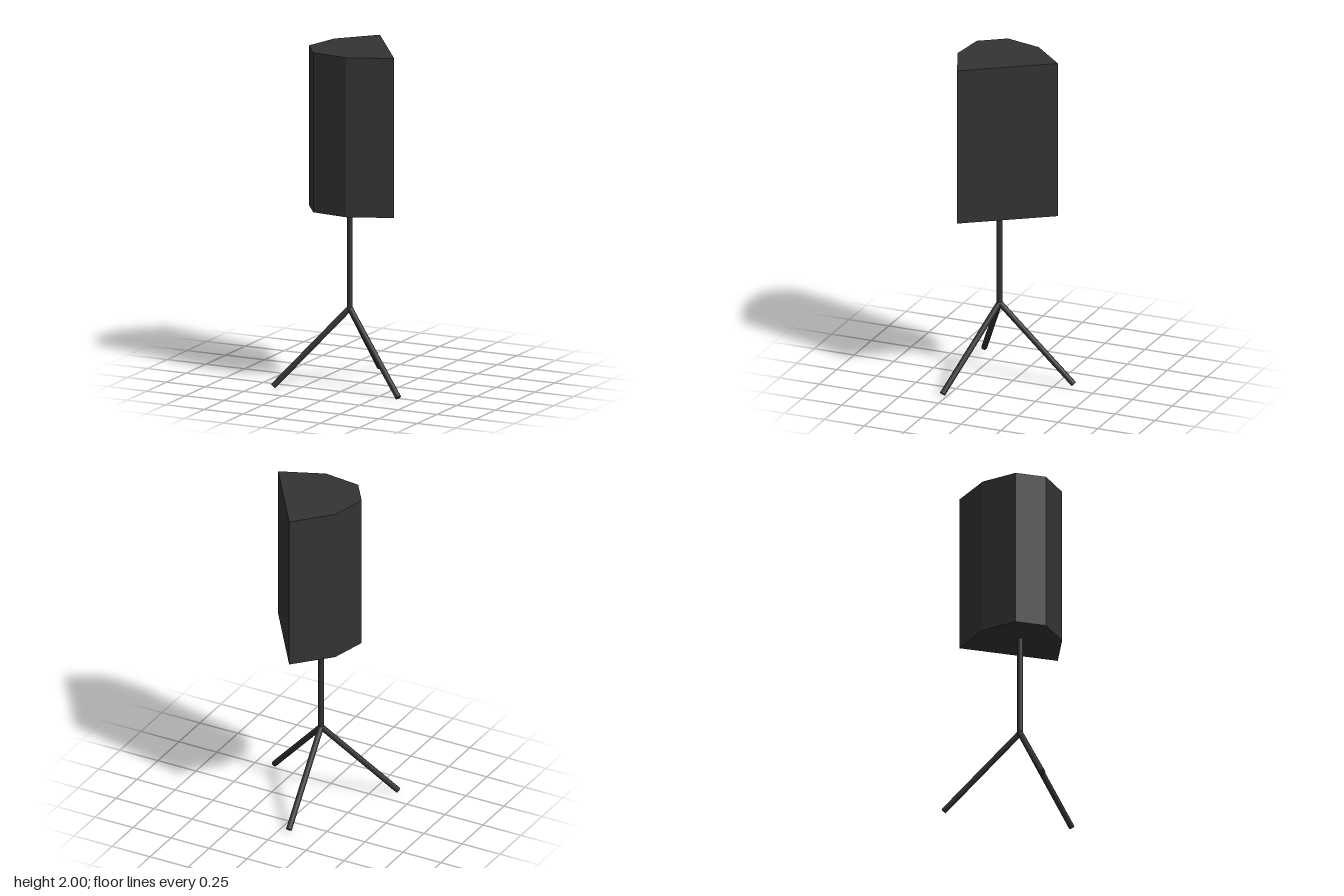
import * as THREE from 'three';

const material = new THREE.MeshStandardMaterial({ color: 0x333333 });

// Round bar running between two points
function bar(name, from, to, radius) {
  const a = new THREE.Vector3(...from);
  const b = new THREE.Vector3(...to);
  const dir = b.clone().sub(a);
  const mesh = new THREE.Mesh(new THREE.CylinderGeometry(radius, radius, dir.length(), 24), material);
  mesh.position.copy(a).add(b).multiplyScalar(0.5);
  mesh.quaternion.setFromUnitVectors(new THREE.Vector3(0, 1, 0), dir.normalize());
  mesh.name = name;
  return mesh;
}

export function createModel() {
  const model = new THREE.Group();
  model.name = 'speakerOnTripod';

  // Six-sided cabinet: plan outline (x, z) extruded downwards from the top
  const outline = [
    [-0.015, -0.275], [0.325, 0.21], [0.07, 0.32],
    [-0.154, 0.296], [-0.26, 0.146], [-0.206, -0.071],
  ].map(([x, z]) => new THREE.Vector2(x, z));
  const cabinet = new THREE.Mesh(
    new THREE.ExtrudeGeometry(new THREE.Shape(outline), { depth: 0.945, bevelEnabled: false }),
    material
  );
  cabinet.rotation.x = Math.PI / 2;
  cabinet.position.y = 2;
  cabinet.name = 'cabinet';
  model.add(cabinet);

  // Upright pole and the three splayed legs meeting at its foot
  const radius = 0.017;
  const hub = [-0.021, 0.46, 0.095];
  model.add(bar('pole', hub, [hub[0], 1.07, hub[2]], radius));
  const feet = { rightLeg: [-0.386, 0.35], leftLeg: [0.385, 0.276], backLeg: [-0.058, -0.356] };
  for (const [name, [x, z]] of Object.entries(feet)) {
    model.add(bar(name, hub, [x, 0.012, z], radius));
  }

  // Rounded joint closing the gap between pole and legs
  const joint = new THREE.Mesh(new THREE.SphereGeometry(radius, 24, 12), material);
  joint.position.set(...hub);
  joint.name = 'joint';
  model.add(joint);

  return model;
}
